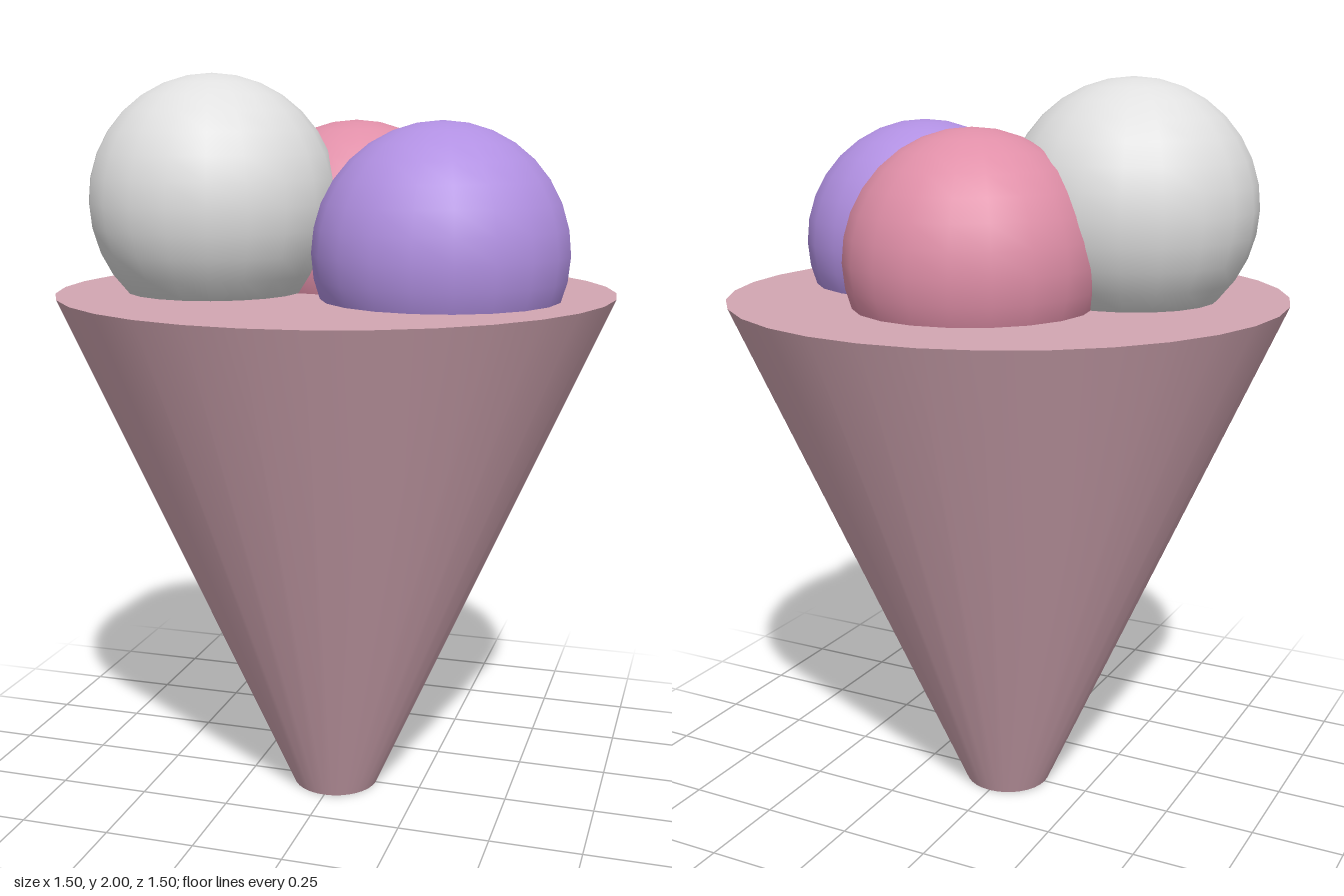
import * as THREE from 'three';

function material(name, color) {
  const m = new THREE.MeshStandardMaterial({ color });
  m.name = name;
  return m;
}

export function createModel() {
  const model = new THREE.Group();
  model.name = 'iceCreamCone';

  // Truncated cone, closed at both ends
  const coneHeight = 1.43;
  const cone = new THREE.Mesh(
    new THREE.CylinderGeometry(0.75, 0.12, coneHeight, 32),
    material('dusty pink wafer', 0xd2a6b2)
  );
  cone.name = 'cone';
  cone.position.y = coneHeight / 2;
  model.add(cone);

  // Three scoops, overlapping and partly sunk into the cone
  const scoopShape = new THREE.SphereGeometry(0.333, 20, 16);
  const scoops = [
    ['vanillaScoop', 'pale grey', 0xe0e0e0, [-0.31, 1.667, 0.1]],
    ['berryScoop', 'lavender', 0xb190e2, [0.31, 1.547, 0.1]],
    ['strawberryScoop', 'rose pink', 0xe08fa8, [0, 1.547, -0.2]],
  ];
  for (const [name, colorName, color, position] of scoops) {
    const scoop = new THREE.Mesh(scoopShape, material(colorName, color));
    scoop.name = name;
    scoop.position.set(...position);
    model.add(scoop);
  }
  return model;
}
